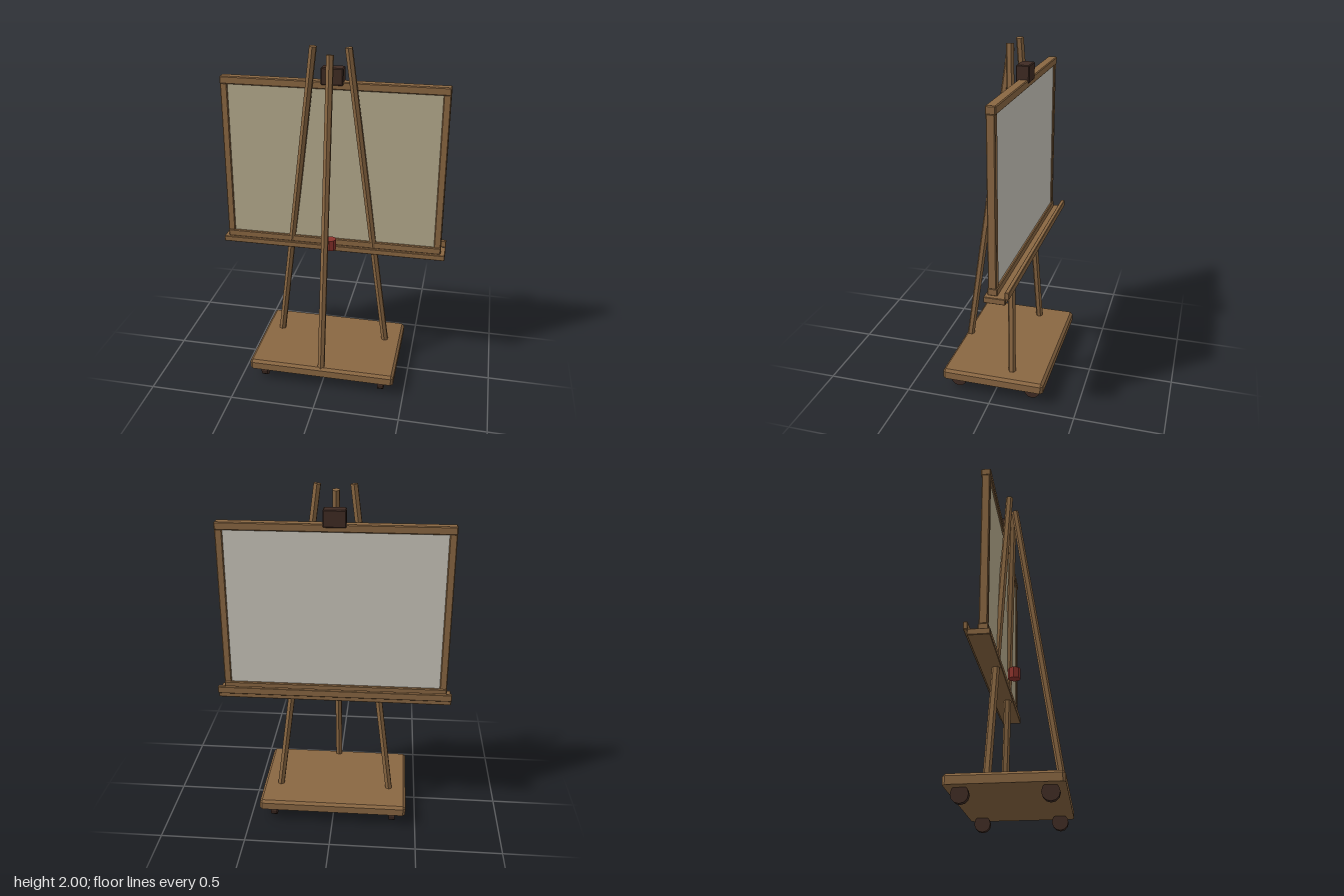
import * as THREE from 'three';
import { ConvexGeometry } from 'three/addons/geometries/ConvexGeometry.js';

const material = (name, color) => {
  const m = new THREE.MeshStandardMaterial({ color });
  m.name = name;
  return m;
};

// Faceted look: every face gets its own normals
function faceted(geometry) {
  const g = geometry.toNonIndexed();
  g.computeVertexNormals();
  return g;
}

// Box with chamfered edges, given as [min, max] ranges; the underside may stay sharp
function chamferBox([x0, x1], [y0, y1], [z0, z1], c, sharpBottom = false) {
  const points = [];
  for (const [x, sx] of [[x0, 1], [x1, -1]])
    for (const [y, sy] of [[y0, 1], [y1, -1]])
      for (const [z, sz] of [[z0, 1], [z1, -1]]) {
        const cy = sharpBottom && sy === 1 ? 0 : c;
        points.push(
          new THREE.Vector3(x, y + sy * cy, z + sz * c),
          new THREE.Vector3(x + sx * c, y + sy * cy, z));
        if (cy) points.push(new THREE.Vector3(x + sx * c, y, z + sz * c));
      }
  return new ConvexGeometry(points);
}

// Six-sided pole between two points
function pole(a, b, radius) {
  const from = new THREE.Vector3(...a), to = new THREE.Vector3(...b);
  const dir = to.clone().sub(from);
  const g = new THREE.CylinderGeometry(radius, radius, dir.length(), 6);
  g.applyQuaternion(new THREE.Quaternion().setFromUnitVectors(
    new THREE.Vector3(0, 1, 0), dir.clone().normalize()));
  const mid = from.add(to).multiplyScalar(0.5);
  return faceted(g.translate(mid.x, mid.y, mid.z));
}

export function createModel() {
  const wood = material('wood', 0x8a6742);
  const darkWood = material('dark brown', 0x402c24);
  const white = material('writing surface', 0xcac6bc);
  const backing = material('backing', 0xb6ab8d);
  const red = material('red', 0x8c332c);

  const model = new THREE.Group();
  model.name = 'easel';
  const add = (name, geometry, mat) => {
    const mesh = new THREE.Mesh(geometry, mat);
    mesh.name = name;
    model.add(mesh);
    return mesh;
  };

  // Rolling base
  add('base', chamferBox([-0.44, 0.44], [0.08, 0.138], [-0.303, 0.303], 0.015, true), wood);
  for (const x of [-0.36, 0.36])
    for (const z of [-0.225, 0.225]) {
      const g = new THREE.CylinderGeometry(0.047, 0.047, 0.036, 12).rotateZ(Math.PI / 2);
      add('wheel', faceted(g), darkWood).position.set(x, 0.047, z);
    }

  // Tripod legs
  for (const s of [-1, 1])
    add(s > 0 ? 'leftLeg' : 'rightLeg',
      pole([s * 0.338, 0.12, -0.096], [s * 0.098, 1.998, -0.016], 0.022), wood);
  add('frontLeg', pole([0, 0.12, 0.275], [0, 1.96, 0.008], 0.022), wood);

  // Board: pale writing face towards the back, tan backing towards the legs
  const panel = (z) => new THREE.BoxGeometry(1.24, 0.94, 0.009).translate(0, 1.298, z);
  add('writingSurface', panel(-0.087), white);
  add('boardBacking', panel(-0.068), backing);

  // Frame
  add('topRail', chamferBox([-0.652, 0.652], [1.755, 1.8], [-0.105, -0.05], 0.005), wood);
  add('bottomRail', chamferBox([-0.652, 0.652], [0.797, 0.84], [-0.105, -0.05], 0.005), wood);
  for (const s of [-1, 1])
    add(s > 0 ? 'leftStile' : 'rightStile',
      chamferBox([s * 0.631 - 0.021, s * 0.631 + 0.021], [0.835, 1.76], [-0.1, -0.054], 0.005), wood);

  // Tray with a raised lip
  add('tray', chamferBox([-0.677, 0.677], [0.765, 0.799], [-0.154, -0.036], 0.003), wood);
  add('trayLip', chamferBox([-0.677, 0.677], [0.798, 0.84], [-0.174, -0.151], 0.003), wood);

  // Top clamp and tension knob
  add('topClamp', chamferBox([-0.063, 0.063], [1.782, 1.878], [-0.112, -0.038], 0.005), darkWood);
  add('knob', faceted(new THREE.CylinderGeometry(0.036, 0.036, 0.064, 8)), red)
    .position.set(0, 0.832, 0.003);

  return model;
}
